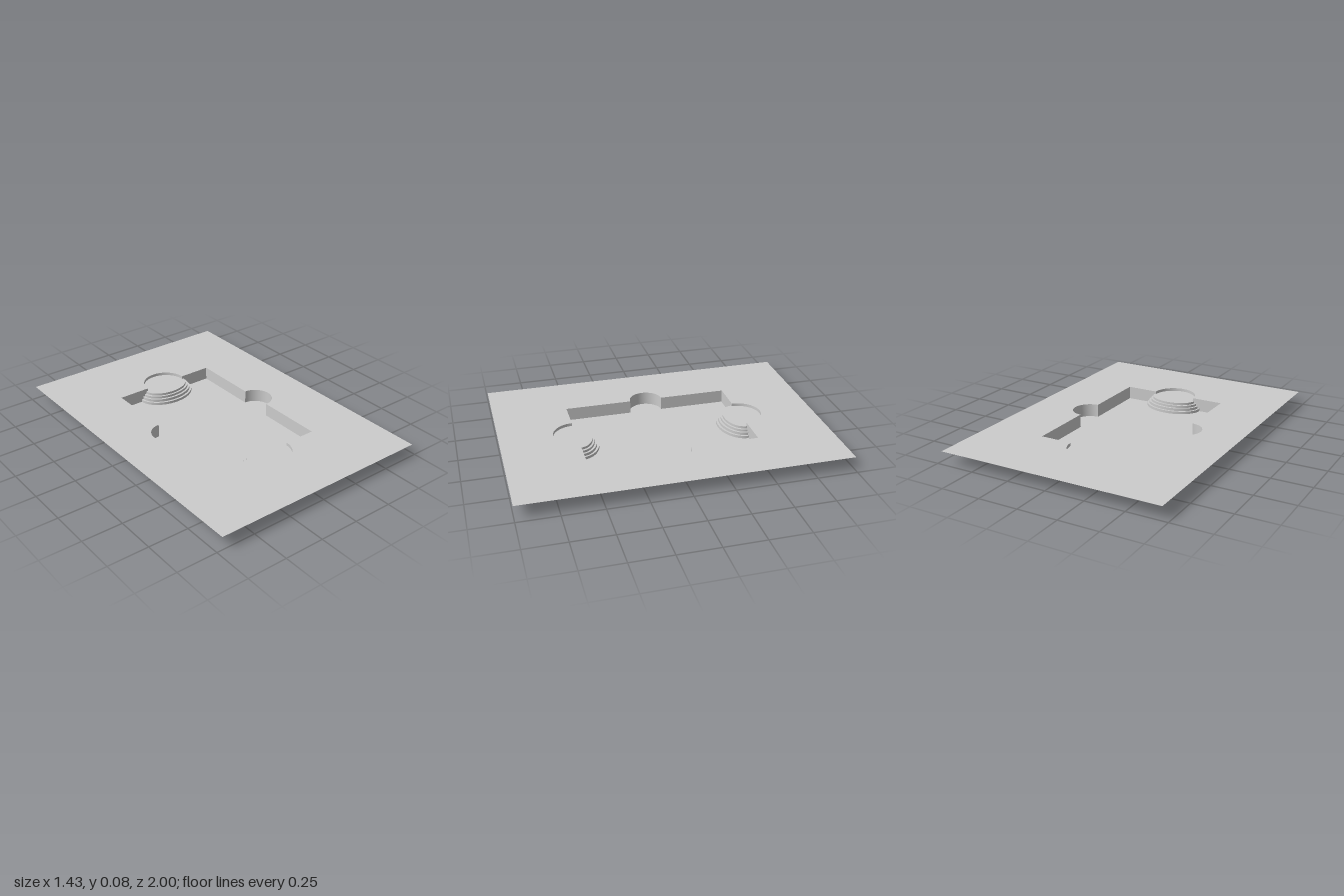
import * as THREE from 'three';

const HX = 0.345, HZ = 0.53;          // basin half width and half length
const DECK = 0.083, LANDING = 0.064;  // deck height, top step height
const SIDE_R = 0.105, END_R = 0.14;   // side alcove and end recess radii
// step tiers from the top down: half width, reach into the basin, tread height
const TIERS = [
  [0.15, 0.10, LANDING],
  [0.165, 0.112, 0.049],
  [0.178, 0.126, 0.034],
  [0.19, 0.14, 0.017],
];

const mat = new THREE.MeshStandardMaterial({ color: 0xcccccc, side: THREE.DoubleSide });

function add(parent, name, geometry) {
  const mesh = new THREE.Mesh(geometry, mat);
  mesh.name = name;
  parent.add(mesh);
  return mesh;
}

// Points (x, z) along an elliptical arc
function arc(cx, cz, rx, rz, a0, a1, n = 40) {
  return Array.from({ length: n + 1 }, (_, i) => {
    const a = a0 + ((a1 - a0) * i) / n;
    return new THREE.Vector2(cx + rx * Math.cos(a), cz + rz * Math.sin(a));
  });
}

// Basin outline grown by an offset; negative endRz makes the ends bulge inward
function outline(offset, endRx, endRz) {
  const side = SIDE_R + offset, s = Math.acos(offset / side), e = Math.asin(offset / endRx);
  const half = [
    new THREE.Vector2(HX + offset, -HZ - offset),
    ...arc(HX, 0, side, side, -s, s),
    new THREE.Vector2(HX + offset, HZ + offset),
    ...arc(0, HZ, endRx, endRz, e, Math.PI - e),
  ];
  return [...half, ...half.map((p) => p.clone().negate())];
}

// Horizontal sheet at height y from (x, z) points
function sheet(points, y, hole) {
  const flip = (pts) => pts.map((p) => new THREE.Vector2(p.x, -p.y));
  const shape = new THREE.Shape(flip(points));
  if (hole) shape.holes.push(new THREE.Path(flip(hole)));
  return new THREE.ShapeGeometry(shape).rotateX(-Math.PI / 2).translate(0, y, 0);
}

// Vertical strip following (x, z) points between two heights
function ribbon(points, y0, y1) {
  const pos = [], index = [];
  points.forEach((p, i) => {
    pos.push(p.x, y0, p.y, p.x, y1, p.y);
    if (i) {
      const k = 2 * i;
      index.push(k - 2, k, k - 1, k - 1, k, k + 1);
    }
  });
  const g = new THREE.BufferGeometry();
  g.setAttribute('position', new THREE.Float32BufferAttribute(pos, 3));
  g.setIndex(index);
  g.computeVertexNormals();
  return g;
}

const tierArc = ([a, b]) => arc(0, HZ, a, -b, 0, Math.PI);

// One end: wall with a stepped opening, rounded recess, landing and curved steps
function makeEnd() {
  const end = new THREE.Group();
  const recess = arc(0, HZ, END_R, END_R, 0, Math.PI);
  add(end, 'recessWall', ribbon(recess, LANDING, DECK));
  add(end, 'landing', sheet([...recess, ...tierArc(TIERS[0]).reverse()], LANDING));

  const profile = [[HX, 0], [HX, DECK], [END_R, DECK], [END_R, LANDING]];
  TIERS.forEach((tier, i) => {
    const [a, , y] = tier;
    const bottom = i < TIERS.length - 1 ? TIERS[i + 1][2] : 0;
    add(end, 'riser', ribbon(tierArc(tier), bottom, y));
    if (i) add(end, 'tread', sheet([...tierArc(tier), ...tierArc(TIERS[i - 1]).reverse()], y));
    profile.push([a, y], [a, bottom]);
  });
  for (const s of [1, -1]) {
    const shape = new THREE.Shape(profile.map(([x, y]) => new THREE.Vector2(s * x, y)));
    // the wall faces into the basin
    add(end, 'endWall', new THREE.ShapeGeometry(shape).rotateY(Math.PI).translate(0, 0, HZ));
  }
  return end;
}

// One long side: two straight walls and a rounded alcove
function makeSide() {
  const side = new THREE.Group();
  for (const s of [1, -1]) {
    const line = [new THREE.Vector2(HX, s * SIDE_R), new THREE.Vector2(HX, s * HZ)];
    add(side, 'sideWall', ribbon(s > 0 ? line : line.reverse(), 0, DECK));
  }
  add(side, 'alcoveWall', ribbon(arc(HX, 0, SIDE_R, SIDE_R, -Math.PI / 2, Math.PI / 2), 0, DECK));
  return side;
}

export function createModel() {
  const model = new THREE.Group();
  model.name = 'sunkenPool';

  // Flat surround with the basin opening and a thin border around it
  const rim = outline(0, END_R, END_R);
  const corners = [[-0.715, -1], [0.715, -1], [0.715, 1], [-0.715, 1]];
  add(model, 'deck', sheet(corners.map(([x, z]) => new THREE.Vector2(x, z)), DECK, rim));
  add(model, 'coping', sheet(outline(0.05, END_R + 0.05, END_R + 0.05), DECK + 0.001, rim));

  // Floor, cut away beneath the steps
  const [a, b] = TIERS[TIERS.length - 1];
  add(model, 'floor', sheet(outline(0, a, -b), 0));

  for (const turn of [0, Math.PI]) {
    const end = makeEnd(), side = makeSide();
    end.name = turn ? 'backSteps' : 'frontSteps';
    side.name = turn ? 'rightSide' : 'leftSide';
    end.rotation.y = side.rotation.y = turn;
    model.add(end, side);
  }
  return model;
}
